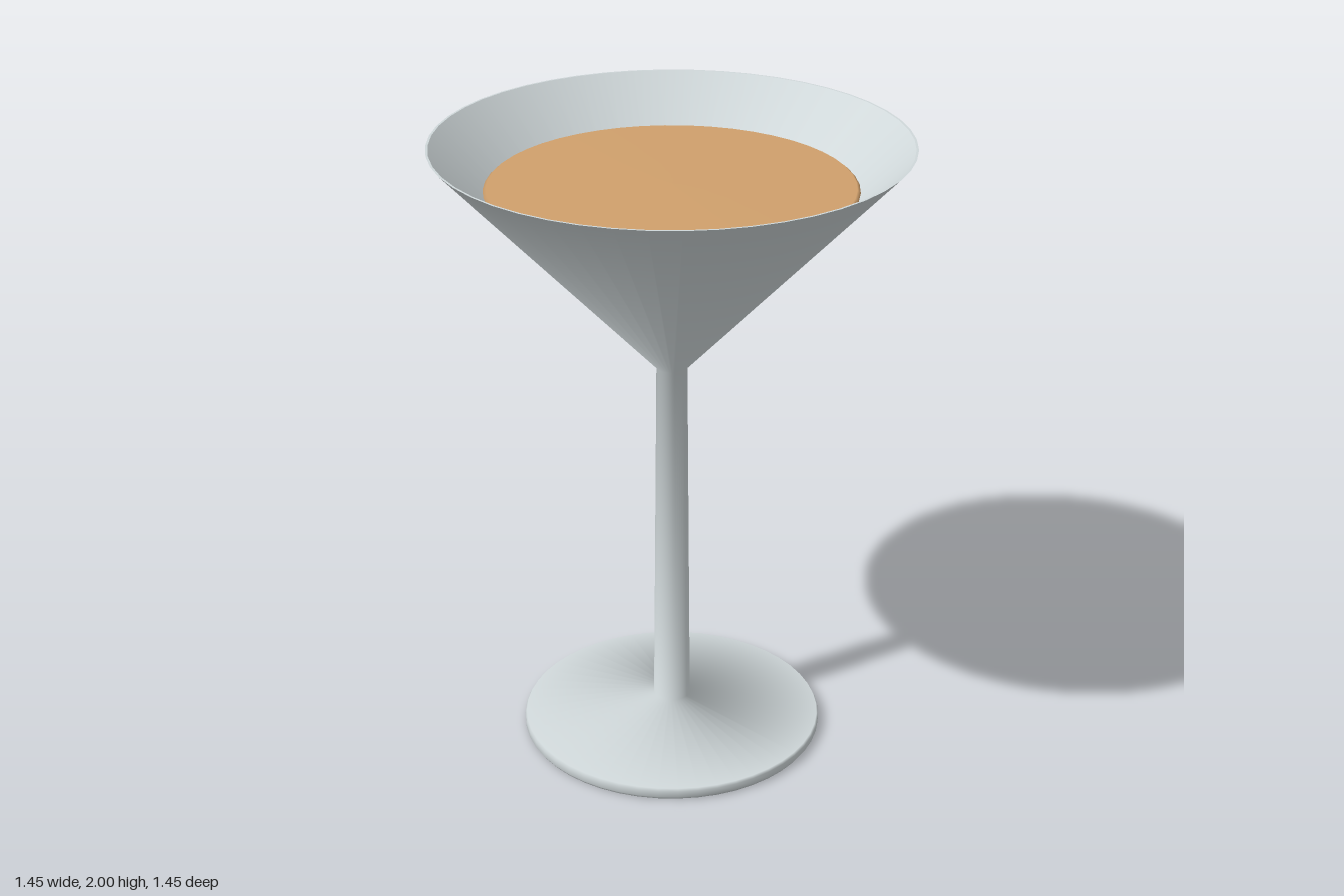
import * as THREE from 'three';

const SEGMENTS = 48;

const glass = new THREE.MeshStandardMaterial({ color: 0xd0d8da });
glass.name = 'pale glass';
const drink = new THREE.MeshStandardMaterial({ color: 0xd0a06c });
drink.name = 'amber drink';

// Turns a [radius, height] profile around the y axis; bottom-to-top faces outward.
function turned(name, profile, material) {
  const points = profile.map(([r, y]) => new THREE.Vector2(r, y));
  const mesh = new THREE.Mesh(new THREE.LatheGeometry(points, SEGMENTS), material);
  mesh.name = name;
  return mesh;
}

export function createModel() {
  const model = new THREE.Group();
  model.name = 'cocktailGlass';

  // Bevelled foot, tapered stem and flared bowl as one smooth surface
  model.add(turned('footStemAndBowl', [
    [0, 0], [0.478, 0], [0.485, 0.01], [0.485, 0.03], [0.48, 0.039],
    [0.059, 0.1], [0.048, 1.275], [0.727, 2],
  ], glass));

  // Fine lip and the inside of the bowl, whose wall thickens downwards
  model.add(turned('lip', [[0.727, 2], [0.72, 2]], glass));
  model.add(turned('bowlInside', [[0.72, 2], [0, 1.305]], glass));

  // Drink: a cone filling the bowl, its surface rounded over at the edge
  model.add(turned('drink', [
    [0, 1.315], [0.556, 1.853], [0.562, 1.861], [0.552, 1.87], [0, 1.873],
  ], drink));

  return model;
}
